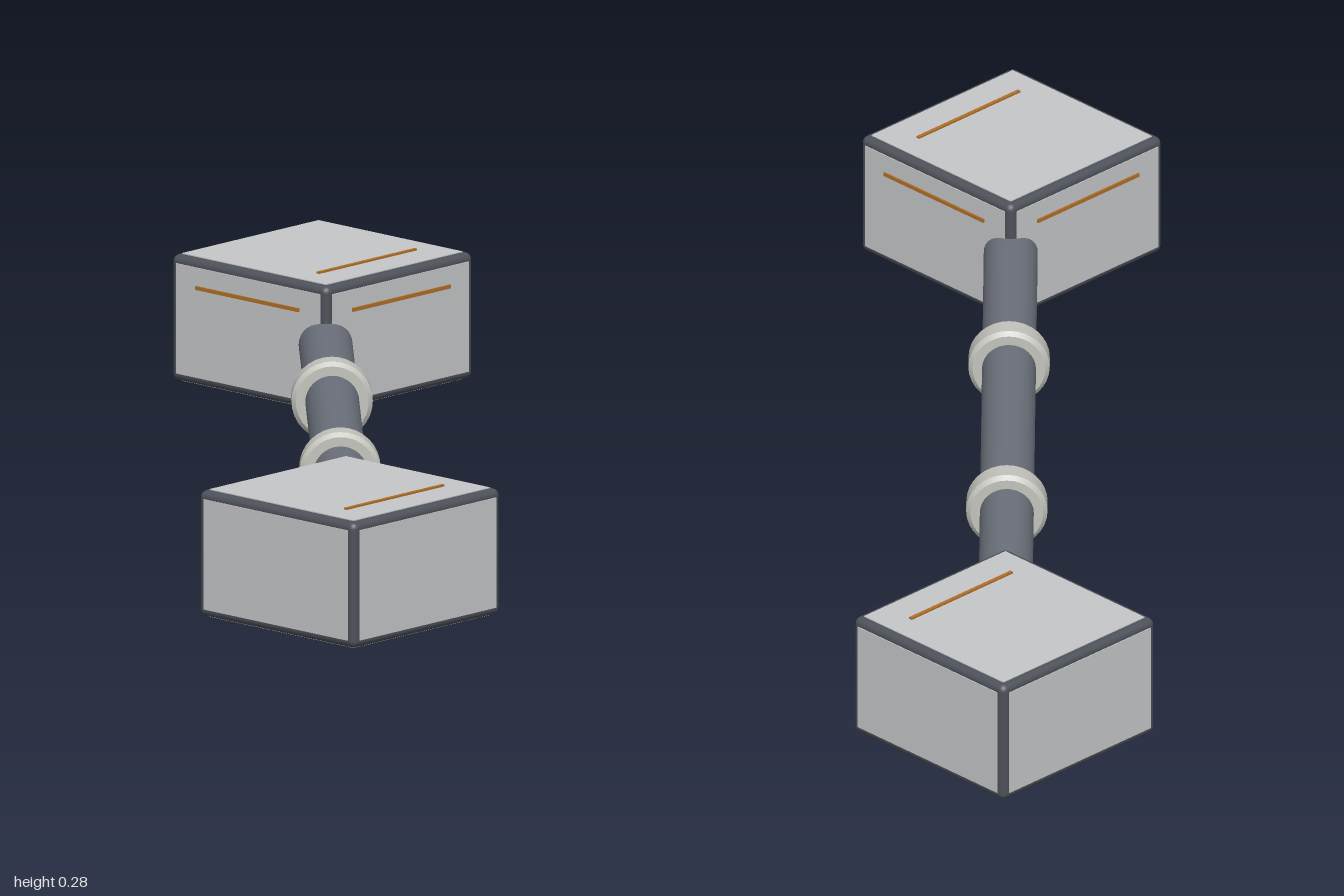
import * as THREE from 'three';
import { RoundedBoxGeometry } from 'three/addons/geometries/RoundedBoxGeometry.js';

const MID_Y = 0.1425, W = 0.453, H = 0.273, RIM = 0.017;

function material(name, color) {
  const m = new THREE.MeshStandardMaterial({ color });
  m.name = name;
  return m;
}

export function createModel() {
  const panelGrey = material('panel grey', 0xc6c7c9);
  const frameGrey = material('dark frame grey', 0x4d5159);
  const pipeGrey = material('pipe slate', 0x6b707b);
  const collarGrey = material('collar pale grey', 0xc4c4bd);
  const amber = material('amber stripe', 0xb0702a);
  const model = new THREE.Group();
  model.name = 'linkedModules';

  function add(parent, name, geometry, mat, x = 0, y = 0, z = 0) {
    const mesh = new THREE.Mesh(geometry, mat);
    mesh.name = name;
    mesh.position.set(x, y, z);
    parent.add(mesh);
    return mesh;
  }

  // A dark rounded block with a pale panel on every face; side is the sign of x and z
  function makeModule(name, side) {
    const g = new THREE.Group();
    g.name = name;
    g.position.set(side * 0.77, MID_Y, side * 0.77);
    add(g, 'frame', new RoundedBoxGeometry(W, H, W, 3, 0.015), frameGrey);
    const w = W - 2 * RIM, h = H - 2 * RIM, t = 0.004;
    for (const s of [-1, 1]) {
      add(g, 'sidePanel', new THREE.BoxGeometry(t, h, w), panelGrey, s * W / 2, 0, 0);
      add(g, 'endPanel', new THREE.BoxGeometry(w, h, t), panelGrey, 0, 0, s * W / 2);
      add(g, 'coverPanel', new THREE.BoxGeometry(w, t, w), panelGrey, 0, s * H / 2, 0);
      // Stripes on the top and underside
      add(g, 'coverStripe', new THREE.BoxGeometry(0.008, 0.009, 0.3), amber, 0.13, s * (H / 2 + 0.0015), 0);
    }
    // Stripes on the two faces turned towards the pipe
    const inner = -side * (W / 2 + 0.0015);
    add(g, 'sideStripe', new THREE.BoxGeometry(0.009, 0.008, 0.3), amber, inner, 0.076, 0);
    add(g, 'endStripe', new THREE.BoxGeometry(0.3, 0.008, 0.009), amber, 0, 0.076, inner);
    model.add(g);
  }
  makeModule('rearModule', -1);
  makeModule('frontModule', 1);

  // Diagonal pipe with two bevelled collars; local y runs along the pipe
  const link = new THREE.Group();
  link.name = 'pipeLink';
  link.position.y = MID_Y;
  link.quaternion.setFromUnitVectors(new THREE.Vector3(0, 1, 0), new THREE.Vector3(1, 0, 1).normalize());
  model.add(link);
  add(link, 'pipe', new THREE.CylinderGeometry(0.057, 0.057, 1.9, 32), pipeGrey);

  const collarProfile = [[0.05, -0.031], [0.077, -0.031], [0.086, -0.022], [0.086, 0.022], [0.077, 0.031], [0.05, 0.031]];
  for (const s of [-1, 1]) {
    const collar = new THREE.Group();
    collar.name = 'collar';
    collar.position.y = s * 0.326;
    // One lathe per band keeps the bevel edges crisp
    for (let i = 0; i < collarProfile.length - 1; i++) {
      const band = [collarProfile[i], collarProfile[i + 1]].map(p => new THREE.Vector2(...p));
      add(collar, 'collarBand', new THREE.LatheGeometry(band, 32), collarGrey);
    }
    link.add(collar);
  }
  return model;
}
